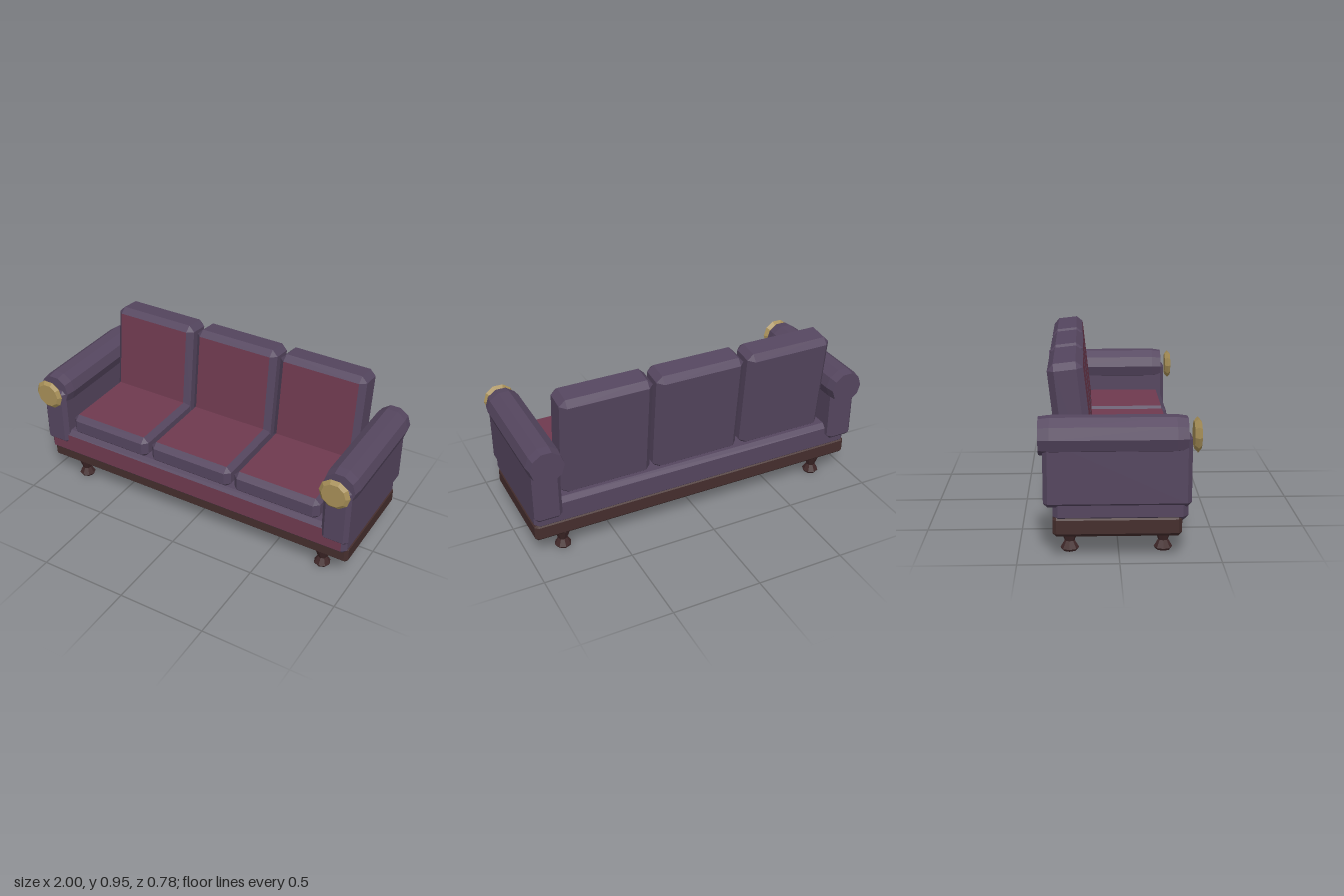
import * as THREE from 'three';
import { ConvexGeometry } from 'three/addons/geometries/ConvexGeometry.js';

const flat = (name, color) => {
  const m = new THREE.MeshStandardMaterial({ color });
  m.name = name;
  m.flatShading = true;
  return m;
};

// Box with chamfered edges; triangles facing `panelDir` go to material group 1
function chamferBox(w, h, d, c, panelDir) {
  const pts = [];
  for (const x of [-1, 1]) for (const y of [-1, 1]) for (const z of [-1, 1]) {
    const X = x * w / 2, Y = y * h / 2, Z = z * d / 2;
    pts.push(
      new THREE.Vector3(X, Y - y * c, Z - z * c),
      new THREE.Vector3(X - x * c, Y, Z - z * c),
      new THREE.Vector3(X - x * c, Y - y * c, Z));
  }
  const geo = new ConvexGeometry(pts);
  if (!panelDir) return geo;
  const n = new THREE.Vector3();
  const nor = geo.attributes.normal;
  for (let i = 0; i < nor.count; i += 3) {
    n.fromBufferAttribute(nor, i);
    geo.addGroup(i, 3, n.dot(panelDir) > 0.99 ? 1 : 0);
  }
  return geo;
}

// Faceted turned shape from [radius, height] pairs
const turned = (profile, sides) => new THREE.LatheGeometry(
  profile.map(([r, y]) => new THREE.Vector2(r, y)), sides, Math.PI / 2);

export function createModel() {
  const model = new THREE.Group();
  model.name = 'sofa';
  const purple = flat('purpleFabric', 0x55465f);
  const red = flat('redFabric', 0x6f3a4f);
  const wood = flat('darkWood', 0x452e2d);
  const legWood = flat('legWood', 0x402829);
  const gold = flat('gold', 0xa89058);
  const front = new THREE.Vector3(0, 0, 1);
  const up = new THREE.Vector3(0, 1, 0);

  const add = (name, geo, mat, x, y, z) => {
    const m = new THREE.Mesh(geo, mat);
    m.name = name;
    m.position.set(x, y, z);
    model.add(m);
    return m;
  };

  // Wooden plinth and upholstered base with red front
  add('plinth', chamferBox(1.94, 0.105, 0.63, 0.018), wood, 0, 0.1775, -0.01);
  add('base', chamferBox(1.935, 0.16, 0.66, 0.026, front), [purple, red], 0, 0.28, 0.005);

  // Three seat and back cushions
  const seatGeo = chamferBox(0.515, 0.13, 0.5, 0.03, up);
  const backGeo = chamferBox(0.515, 0.605, 0.178, 0.033, front);
  for (const x of [-0.54, 0, 0.535]) {
    add('seatCushion', seatGeo, [purple, red], x, 0.413, 0.075);
    add('backCushion', backGeo, [purple, red], x, 0.648, -0.23).rotation.x = -0.11;
  }

  // Arms: padded panel, rolled top and gold button
  const armGeo = chamferBox(0.155, 0.36, 0.72, 0.022);
  const rollGeo = turned([[0, -0.39], [0.093, -0.39], [0.1, -0.335], [0.1, 0.275], [0.092, 0.33], [0, 0.33]], 10);
  const buttonGeo = turned([[0, 0.36], [0.068, 0.36], [0.088, 0.378], [0.068, 0.395], [0, 0.395]], 10);
  const legGeo = turned([[0, 0], [0.039, 0], [0.047, 0.012], [0.025, 0.05], [0.047, 0.108], [0.04, 0.13], [0, 0.13]], 8);
  for (const s of [-1, 1]) {
    add('armPanel', armGeo, purple, s * 0.9, 0.455, -0.01);
    add('armRoll', rollGeo, purple, s * 0.9, 0.62, 0).rotation.x = Math.PI / 2;
    add('armButton', buttonGeo, gold, s * 0.9, 0.62, 0).rotation.x = Math.PI / 2;
    // Turned legs
    for (const z of [0.225, -0.245]) add('leg', legGeo, legWood, s * 0.797, 0, z);
  }
  return model;
}
